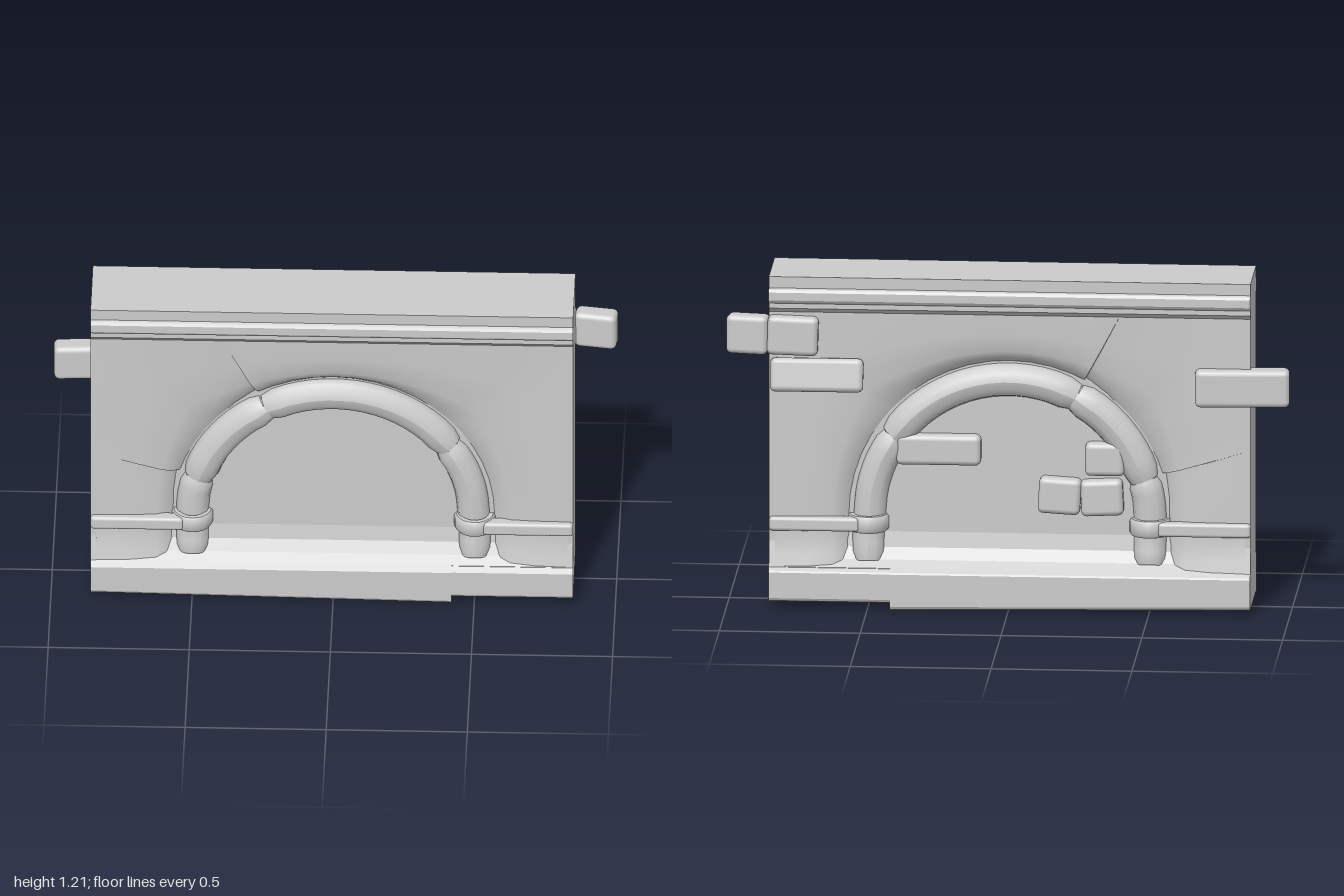
import * as THREE from 'three';
import { RoundedBoxGeometry } from 'three/addons/geometries/RoundedBoxGeometry.js';
import { toCreasedNormals } from 'three/addons/utils/BufferGeometryUtils.js';

const stone = new THREE.MeshStandardMaterial({ color: 0xcccccc });
const skin = new THREE.MeshStandardMaterial({ color: 0xcccccc, side: THREE.DoubleSide });
const X0 = -0.86, X1 = 0.85, CY = 0.33, TOP = 1.1, R = 0.5;
const rad = THREE.MathUtils.degToRad;

function add(parent, name, geometry, material = stone) {
  const mesh = new THREE.Mesh(geometry, material);
  mesh.name = name;
  parent.add(mesh);
  return mesh;
}

// Prism along x from half of a symmetric profile of [half depth, height]
function prism(half, x0, x1) {
  const pts = [...half, ...half.slice().reverse().map(([z, y]) => [-z, y])];
  const shape = new THREE.Shape(pts.map(([z, y]) => new THREE.Vector2(z, y)));
  const g = new THREE.ExtrudeGeometry(shape, { depth: x1 - x0, bevelEnabled: false });
  return g.rotateY(Math.PI / 2).translate(x0, 0, 0);
}

// Wall face spread outward from the arch to the rectangular border, with radial cracks
function wallFace() {
  const cracks = [118, 163];
  const corners = [
    THREE.MathUtils.radToDeg(Math.atan2(TOP - CY, X0)),
    THREE.MathUtils.radToDeg(Math.atan2(TOP - CY, X1)),
  ];
  const dentAt = (a) => 0.013 * Math.max(0, ...cracks.map((c) => (a >= c ? 1 - (a - c) / 17 : 0)));
  const angles = [...corners, ...cracks, ...cracks.map((c) => c - 0.15)];
  for (let a = 0; a <= 180; a += 7.5) angles.push(a);
  angles.sort((a, b) => b - a);

  const r = R + 0.07;
  const legs = [0.14, 0.19, 0.24, 0.29];
  const columns = legs.map((y) => ({ from: [-r, y], to: [X0, y], dent: 0 }));
  for (const a of angles) {
    const c = Math.cos(rad(a)), s = Math.sin(rad(a));
    const reach = Math.min(
      s > 1e-6 ? (TOP - CY) / s : Infinity,
      Math.abs(c) > 1e-6 ? (c > 0 ? X1 : X0) / c : Infinity
    );
    columns.push({ from: [r * c, CY + r * s], to: [reach * c, CY + reach * s], dent: dentAt(a) });
  }
  for (const y of legs.slice().reverse()) columns.push({ from: [r, y], to: [X1, y], dent: 0 });

  const rows = [[0, 0.045], [0.08, 0.022], [0.2, 0.009], [0.5, 0.003], [1, 0]];
  const pos = [], index = [], n = rows.length;
  columns.forEach(({ from, to, dent }, i) => {
    rows.forEach(([f, inset], j) => {
      const x = from[0] + (to[0] - from[0]) * f, y = from[1] + (to[1] - from[1]) * f;
      const flare = Math.max(0, 0.24 - y) * 0.22;
      pos.push(x, y, 0.13 + flare - inset - dent * (1 - f));
      if (i && j) {
        const b = i * n + j, a = b - n;
        index.push(a - 1, b - 1, b, a - 1, b, a);
      }
    });
  });
  const g = new THREE.BufferGeometry();
  g.setAttribute('position', new THREE.Float32BufferAttribute(pos, 3));
  g.setIndex(index);
  return toCreasedNormals(g, 0.6);
}

// One stone of the arch moulding, with drawn-in ends
function archStone(points, radius) {
  const sides = 12, steps = points.length * 2;
  const curve = new THREE.CatmullRomCurve3(points);
  const g = new THREE.TubeGeometry(curve, steps, radius, sides);
  const p = g.attributes.position, v = new THREE.Vector3();
  for (let i = 0; i < p.count; i++) {
    const ring = Math.floor(i / (sides + 1));
    const c = curve.getPointAt(ring / steps);
    const k = ring === 0 || ring === steps ? 0.82 : 1;
    v.fromBufferAttribute(p, i).sub(c).multiplyScalar(k);
    v.z *= 0.82;
    v.add(c);
    p.setXYZ(i, v.x, v.y, v.z);
  }
  g.computeVertexNormals();
  return g;
}

function arcPoints(a0, a1, r) {
  const n = Math.max(2, Math.round(Math.abs(a1 - a0) / 12));
  return Array.from({ length: n + 1 }, (_, i) => {
    const a = rad(a0 + ((a1 - a0) * i) / n);
    return new THREE.Vector3(r * Math.cos(a), CY + r * Math.sin(a), 0.082);
  });
}

const leg = (side) => [
  new THREE.Vector3(side * R, 0.165, 0.1),
  new THREE.Vector3(side * R, 0.22, 0.088),
  new THREE.Vector3(side * R, 0.28, 0.082),
];

// Wall skin, arch and string course of one face
function buildFace() {
  const face = new THREE.Group();
  add(face, 'wallFace', wallFace(), skin);
  const stones = [
    [[...leg(-1), ...arcPoints(180, 163, R)], 0.058],
    [arcPoints(163.5, 118, R), 0.062],
    [arcPoints(118.5, 35, R), 0.06],
    [[...arcPoints(35.5, 0, R - 0.004), ...leg(1).reverse()], 0.057],
  ];
  stones.forEach(([pts, r]) => add(face, 'archStone', archStone(pts, r), skin));

  const ringProfile = [[0.05, -0.03], [0.066, -0.03], [0.073, -0.02], [0.073, 0.02], [0.066, 0.03], [0.05, 0.03]];
  for (const side of [-1, 1]) {
    const ring = new THREE.LatheGeometry(ringProfile.map(([x, y]) => new THREE.Vector2(x, y)), 20);
    add(face, 'columnRing', toCreasedNormals(ring, 0.9), skin).position.set(side * R, 0.305, 0.085);
    const end = side < 0 ? X0 : X1, inner = side * 0.53;
    const band = new RoundedBoxGeometry(Math.abs(end - inner), 0.05, 0.05, 2, 0.012);
    add(face, 'stringCourse', band).position.set((end + inner) / 2, 0.305, 0.128);
  }
  return face;
}

// Exposed brick: centre, size, rotation
function brick(parent, [x, y, z], [w, h, d], [rx = 0, ry = 0, rz = 0] = []) {
  const m = add(parent, 'exposedBrick', new RoundedBoxGeometry(w, h, d, 3, 0.02));
  m.position.set(x, y, z);
  m.rotation.set(rx, ry, rz);
}

export function createModel() {
  const model = new THREE.Group();
  model.name = 'archedWall';
  const body = new THREE.Group();
  body.name = 'wallBody';
  body.position.z = 0.01;
  model.add(body);

  // Recessed core with a curved foot
  add(body, 'recessedPanel', prism(
    [[0.15, 0.13], [0.15, 0.15], [0.118, 0.175], [0.094, 0.215], [0.083, 0.27], [0.08, 1.1]], X0 + 0.01, X1 - 0.01));

  // End slabs
  const endProfile = [[0.15, 0.1], [0.15, 0.15], [0.13, 0.24], [0.13, 1.1]];
  add(body, 'endSlab', prism(endProfile, X0, X0 + 0.02));
  add(body, 'endSlab', prism(endProfile, X1 - 0.02, X1));

  // Cornice
  add(body, 'cornice', prism([
    [0.13, 1.075], [0.143, 1.09], [0.143, 1.108], [0.152, 1.113], [0.158, 1.122],
    [0.158, 1.15], [0.152, 1.159], [0.143, 1.164], [0.143, 1.205]], X0, X1));

  // Plinth in two blocks, the longer one sinking towards the crack
  const plinth = [[0.155, 0], [0.164, 0.004], [0.17, 0.014], [0.17, 0.132], [0.166, 0.138], [0.15, 0.15]];
  const long = prism(plinth, X0, 0.42), short = prism(plinth, 0.42, X1);
  const sink = (g, rule) => {
    const p = g.attributes.position;
    for (let i = 0; i < p.count; i++) if (p.getY(i) < 0.1) p.setY(i, p.getY(i) + rule(p.getX(i)));
    g.computeVertexNormals();
  };
  sink(long, (x) => 0.02 * (0.42 - x) / 1.28);
  sink(short, () => 0.025);
  add(body, 'plinthLong', long);
  add(body, 'plinthShort', short).scale.z = 0.985;

  // Matching faces front and back
  const front = buildFace(), back = buildFace();
  front.name = 'frontFace';
  back.name = 'backFace';
  back.scale.z = -1;
  body.add(front, back);

  // Bricks at the wall ends
  brick(model, [0.925, 0.992, -0.112], [0.15, 0.14, 0.075], [0, -0.15, 0]);
  brick(model, [0.765, 0.992, -0.12], [0.18, 0.14, 0.08], [0, 0, 0.03]);
  brick(model, [0.68, 0.85, -0.135], [0.33, 0.12, 0.07], [0.2, 0.06, 0]);
  brick(model, [-0.83, 0.825, -0.115], [0.335, 0.135, 0.08], [0, 0.06, 0]);
  // Bricks inside the arch
  brick(model, [0.25, 0.575, -0.08], [0.3, 0.11, 0.07]);
  brick(model, [-0.34, 0.55, -0.08], [0.14, 0.12, 0.07]);
  brick(model, [-0.18, 0.415, -0.08], [0.15, 0.13, 0.08], [0, 0, 0.06]);
  brick(model, [-0.33, 0.41, -0.08], [0.15, 0.13, 0.075], [0, 0, -0.05]);
  return model;
}
